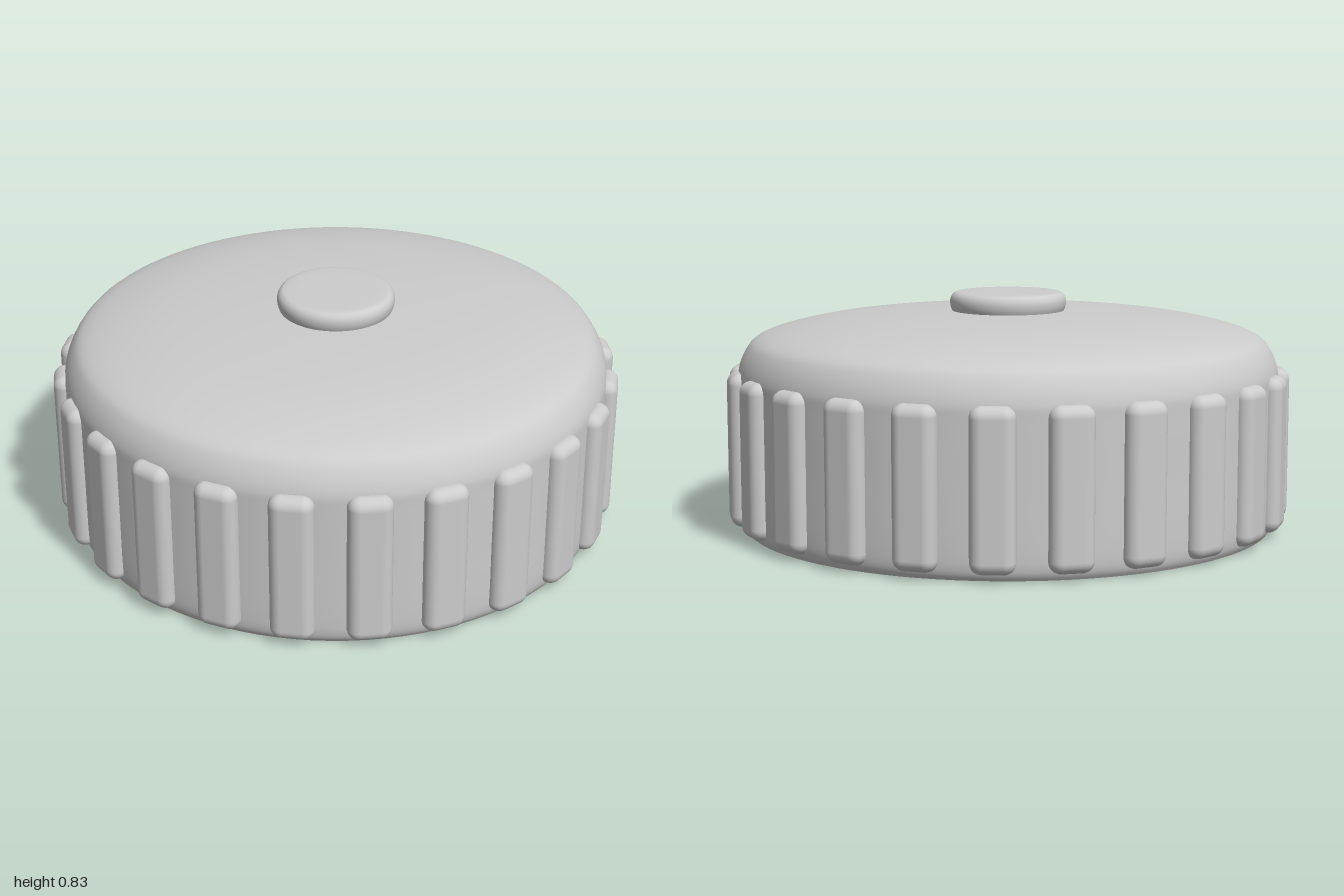
import * as THREE from 'three';
import { RoundedBoxGeometry } from 'three/addons/geometries/RoundedBoxGeometry.js';

const RIBS = 24;

// Smooth surface of revolution through [radius, height] points, bottom to top
function turned(name, points, samples, material) {
  const curve = new THREE.SplineCurve(points.map(([r, y]) => new THREE.Vector2(r, y)));
  const profile = curve.getPoints(samples).map((p) => p.setX(Math.max(p.x, 0)));
  const mesh = new THREE.Mesh(new THREE.LatheGeometry(profile, 96), material);
  mesh.name = name;
  return mesh;
}

export function createModel() {
  const model = new THREE.Group();
  model.name = 'ribbedCap';
  const grey = new THREE.MeshStandardMaterial({ color: 0xcccccc });
  grey.name = 'light grey';

  // Side wall rolling over into the shallow dome
  model.add(turned('capBody', [
    [0.94, 0], [0.955, 0.03], [0.96, 0.1], [0.96, 0.3], [0.96, 0.5], [0.957, 0.57],
    [0.93, 0.635], [0.89, 0.675], [0.8, 0.706], [0.65, 0.735], [0.45, 0.754],
    [0.2, 0.765], [0, 0.767],
  ], 60, grey));

  // Flat underside
  const base = new THREE.Mesh(new THREE.CircleGeometry(0.94, 96), grey);
  base.name = 'underside';
  base.rotation.x = Math.PI / 2;
  model.add(base);

  // Round button with a softened rim
  model.add(turned('topButton', [
    [0.195, 0.755], [0.205, 0.78], [0.206, 0.805], [0.195, 0.824], [0.17, 0.831],
    [0.08, 0.832], [0, 0.832],
  ], 36, grey));

  // Rounded grip ribs around the wall
  const ribGeometry = new RoundedBoxGeometry(0.15, 0.54, 0.1, 4, 0.04);
  const ribs = new THREE.Group();
  ribs.name = 'gripRibs';
  for (let i = 0; i < RIBS; i++) {
    const angle = (i / RIBS) * Math.PI * 2;
    const rib = new THREE.Mesh(ribGeometry, grey);
    rib.name = 'gripRib';
    rib.position.set(Math.sin(angle) * 0.95, 0.295, Math.cos(angle) * 0.95);
    rib.rotation.y = angle;
    ribs.add(rib);
  }
  model.add(ribs);
  return model;
}
